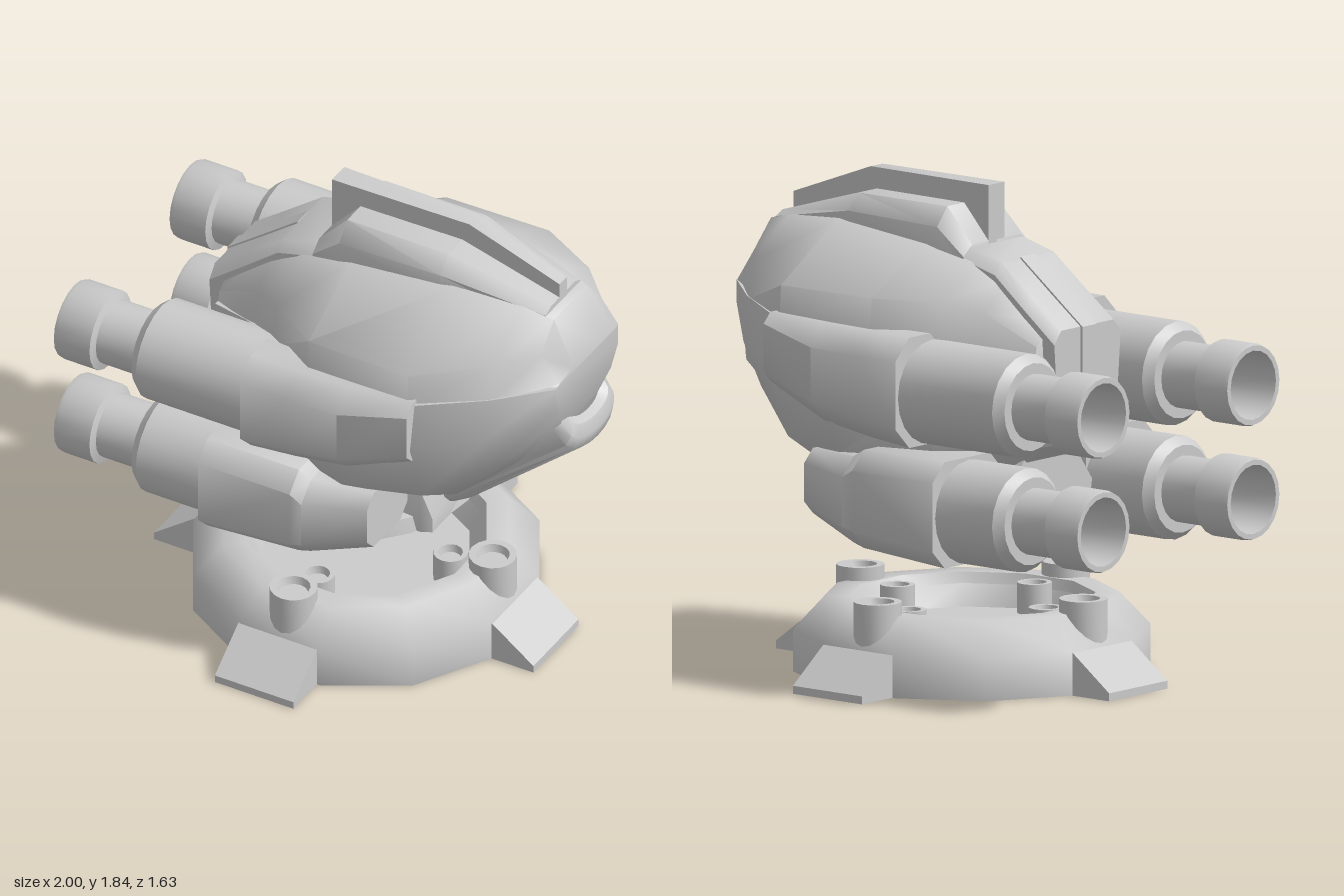
import * as THREE from 'three';
import { toCreasedNormals } from 'three/addons/utils/BufferGeometryUtils.js';

const material = new THREE.MeshStandardMaterial({ color: 0xcccccc, side: THREE.DoubleSide });

function part(name, geometry, crease = 0.6) {
  const mesh = new THREE.Mesh(toCreasedNormals(geometry, crease), material);
  mesh.name = name;
  return mesh;
}

// Skin a row of closed rings of [x, y, z] points and cap both ends.
function loft(rings) {
  const n = rings[0].length, pos = rings.flat(2), idx = [];
  for (let i = 0; i < rings.length - 1; i++) {
    for (let j = 0; j < n; j++) {
      const a = i * n + j, b = i * n + (j + 1) % n;
      idx.push(a, b, a + n, b, b + n, a + n);
    }
  }
  const last = (rings.length - 1) * n;
  for (let j = 1; j < n - 1; j++) idx.push(0, j + 1, j, last, last + j, last + j + 1);
  // Turn the faces outward if the rings run the other way round.
  const v = i => new THREE.Vector3().fromArray(pos, i * 3);
  let volume = 0;
  for (let i = 0; i < idx.length; i += 3) volume += v(idx[i]).dot(v(idx[i + 1]).cross(v(idx[i + 2])));
  if (volume < 0) idx.reverse();
  const g = new THREE.BufferGeometry();
  g.setAttribute('position', new THREE.Float32BufferAttribute(pos, 3));
  g.setIndex(idx);
  return g;
}

// Sections given as [x, [z, y], ...] for one half, top to bottom or bottom to top.
const mirrored = sections => loft(sections.map(([x, ...half]) => [
  ...half.map(([z, y]) => [x, y, z]),
  ...half.slice().reverse().map(([z, y]) => [x, y, -z]),
]));

// Chamfered box sections given as [x, z0, z1, y0, y1, chamfer].
const chamfered = (sections, side) => loft(sections.map(([x, z0, z1, y0, y1, c]) => [
  [z0, y0 + c], [z0, y1 - c], [z0 + c, y1], [z1 - c, y1],
  [z1, y1 - c], [z1, y0 + c], [z1 - c, y0], [z0 + c, y0],
].map(([z, y]) => [x, y, z * side])));

const lathe = (points, segments) =>
  new THREE.LatheGeometry(points.map(p => new THREE.Vector2(...p)), segments);

function createBase() {
  const base = new THREE.Group();
  base.name = 'base';
  // Twelve-sided ring, hollow underneath, with a flat side facing each foot
  const ring = lathe([
    [0, 0.14], [0.385, 0.14], [0.44, 0.24], [0.53, 0.25], [0.64, 0.15], [0.645, 0], [0.663, 0], [0.663, 0.16],
    [0.55, 0.28], [0.46, 0.28], [0.4, 0.16], [0, 0.16]], 12);
  base.add(part('baseRing', ring.rotateY(Math.PI / 12), 0.9));

  const wedge = new THREE.Shape([[0.62, 0], [0.815, 0], [0.815, 0.03], [0.64, 0.16], [0.62, 0.16]]
    .map(p => new THREE.Vector2(...p)));
  const socket = (r, y0, y1) => lathe([
    [0, y0], [r, y0], [r, y1], [r * 0.7, y1], [r * 0.6, y1 - 0.03], [0, y1 - 0.03]], 16);
  for (let i = 0; i < 4; i++) {
    const quarter = new THREE.Group();
    quarter.name = 'baseQuarter';
    const foot = new THREE.ExtrudeGeometry(wedge, { depth: 0.335, bevelEnabled: false });
    quarter.add(part('foot', foot.translate(0, 0, -0.157)));
    quarter.add(part('outerSocket', socket(0.09, 0.08, 0.33).translate(0.54, 0, 0)));
    quarter.add(part('innerSocket', socket(0.065, 0.08, 0.275).translate(0.36, 0, 0)));
    quarter.rotation.y = i * Math.PI / 2;
    base.add(quarter);
  }
  return base;
}

function createCannon(name, y, side, collarEnd, housing) {
  const cannon = new THREE.Group();
  cannon.name = name;
  // Hollow muzzle, narrow neck and thick collar
  const barrel = lathe([
    [0, 0.3], [0.12, 0.3], [0.13, 0], [0.15, 0], [0.155, 0.015], [0.155, 0.155], [0.125, 0.165],
    [0.125, 0.34], [0.165, 0.34], [0.195, 0.375], [0.195, collarEnd], [0, collarEnd]], 20);
  cannon.add(part('barrel', barrel.rotateZ(-Math.PI / 2).translate(-1, y, side * 0.43)));
  cannon.add(part('cannonHousing', chamfered(housing, side), 0.8));
  return cannon;
}

function createHull() {
  const hull = new THREE.Group();
  hull.name = 'hull';
  hull.add(part('upperShell', mirrored([
    [-0.5, [0.12, 1.38], [0.22, 1.3], [0.25, 1.18]],
    [-0.3, [0.14, 1.53], [0.28, 1.41], [0.31, 1.25]],
    [-0.17, [0.17, 1.58], [0.37, 1.45], [0.39, 1.28]],
    [0.05, [0.2, 1.62], [0.515, 1.46], [0.525, 1.31]],
    [0.48, [0.2, 1.665], [0.525, 1.46], [0.535, 1.32]],
    [0.75, [0.16, 1.64], [0.35, 1.5], [0.4, 1.355]],
    [0.87, [0.12, 1.61], [0.22, 1.5], [0.285, 1.37]],
    [0.94, [0.1, 1.4], [0.2, 1.39], [0.235, 1.38]]]), 1.05));
  hull.add(part('lowerHull', mirrored([
    [-0.5, [0.25, 1.26], [0.25, 1.15], [0.22, 1.02], [0.12, 0.92]],
    [-0.35, [0.29, 1.27], [0.32, 1.12], [0.28, 0.93], [0.14, 0.82]],
    [-0.17, [0.38, 1.3], [0.46, 1.1], [0.42, 0.85], [0.2, 0.7]],
    [0.2, [0.53, 1.33], [0.59, 1.06], [0.53, 0.86], [0.26, 0.69]],
    [0.5, [0.535, 1.34], [0.57, 1.15], [0.46, 0.88], [0.2, 0.72]],
    [0.75, [0.4, 1.37], [0.42, 1.2], [0.32, 1.02], [0.12, 0.92]],
    [0.94, [0.235, 1.385], [0.235, 1.3], [0.18, 1.22], [0.08, 1.17]]]), 0.9));
  // Raised strip over the nose and down its face
  hull.add(part('noseStrip', mirrored([
    [-0.56, [0.16, 0.93], [0.19, 1.31], [0.15, 1.36]],
    [-0.42, [0.16, 0.9], [0.19, 1.42], [0.15, 1.465]],
    [-0.27, [0.16, 1.1], [0.19, 1.54], [0.15, 1.58]],
    [-0.12, [0.16, 1.3], [0.19, 1.58], [0.15, 1.62]]]), 0.8));
  hull.add(part('noseSlat', mirrored([
    [-0.57, [0.04, 1.18], [0.04, 1.36]],
    [-0.27, [0.04, 1.5], [0.04, 1.588]]])));
  hull.add(part('topRidge', mirrored([
    [-0.12, [0.19, 1.5], [0.19, 1.59], [0.14, 1.63]],
    [0, [0.2, 1.57], [0.2, 1.69], [0.14, 1.76]],
    [0.43, [0.2, 1.6], [0.2, 1.7], [0.14, 1.76]],
    [0.84, [0.12, 1.56], [0.13, 1.62], [0.09, 1.64]]]), 0.8));

  // Top fin, thinner towards the rear
  const finShape = new THREE.Shape([[-0.12, 1.55], [0.4, 1.68], [0.84, 1.61], [0.84, 1.7], [0.46, 1.84], [-0.12, 1.84]]
    .map(p => new THREE.Vector2(...p)));
  const fin = new THREE.ExtrudeGeometry(finShape, { depth: 0.09, bevelEnabled: false }).translate(0, 0, -0.045);
  const p = fin.attributes.position;
  for (let i = 0; i < p.count; i++) p.setZ(i, p.getZ(i) * (1 - 0.4 * (p.getX(i) + 0.12) / 0.96));
  hull.add(part('topFin', fin));

  // Rounded spine running up the rear, with a scooped upper end: [x, y, bulge, half width]
  const spine = [[0.34, 0.66, 0.125, 0.13], [0.42, 0.74, 0.145, 0.165], [0.9, 1.15, 0.14, 0.18],
    [0.925, 1.18, 0.115, 0.165], [0.925, 1.21, 0.09, 0.135], [0.91, 1.2, 0.06, 0.1], [0.85, 1.14, 0.06, 0.09]];
  hull.add(part('rearSpine', loft(spine.map(([x, y, h, w]) => Array.from({ length: 11 }, (_, i) => {
    const a = (i / 10 - 0.5) * Math.PI, out = h * Math.sqrt(Math.cos(a) + 1e-9);
    return [x + 0.63 * out, y - 0.77 * out, w * Math.sin(a)];
  }))), 0.8));
  return hull;
}

export function createModel() {
  const model = new THREE.Group();
  model.name = 'turret';
  model.add(createBase(), createHull());

  // Turntable and neck under the hull
  const plate = lathe([[0, 0.48], [0.33, 0.48], [0.435, 0.54], [0.42, 0.6], [0, 0.64]], 20);
  model.add(part('turntable', plate.scale(1, 1, 1.12)));
  model.add(part('neck', mirrored([
    [-0.38, [0.26, 0.54], [0.26, 0.7], [0.15, 0.85]],
    [0.38, [0.26, 0.54], [0.26, 0.73], [0.15, 0.74]],
    [0.42, [0.24, 0.54], [0.24, 0.6], [0.14, 0.61]]])));

  for (const side of [1, -1]) {
    const label = side > 0 ? 'left' : 'right';
    model.add(createCannon(label + 'UpperCannon', 1.125, side, 0.9, [
      [-0.17, 0.36, 0.64, 0.93, 1.345, 0.08],
      [0.02, 0.37, 0.64, 0.95, 1.345, 0.08],
      [0.24, 0.38, 0.64, 0.985, 1.35, 0.08],
      [0.51, 0.42, 0.59, 1.1, 1.36, 0.04]]));
    model.add(createCannon(label + 'LowerCannon', 0.695, side, 0.7, [
      [-0.35, 0.24, 0.64, 0.5, 0.9, 0.07],
      [0.04, 0.24, 0.64, 0.53, 0.9, 0.07],
      [0.09, 0.25, 0.64, 0.545, 0.87, 0.07],
      [0.33, 0.27, 0.57, 0.62, 0.865, 0.05]]));
  }
  return model;
}
